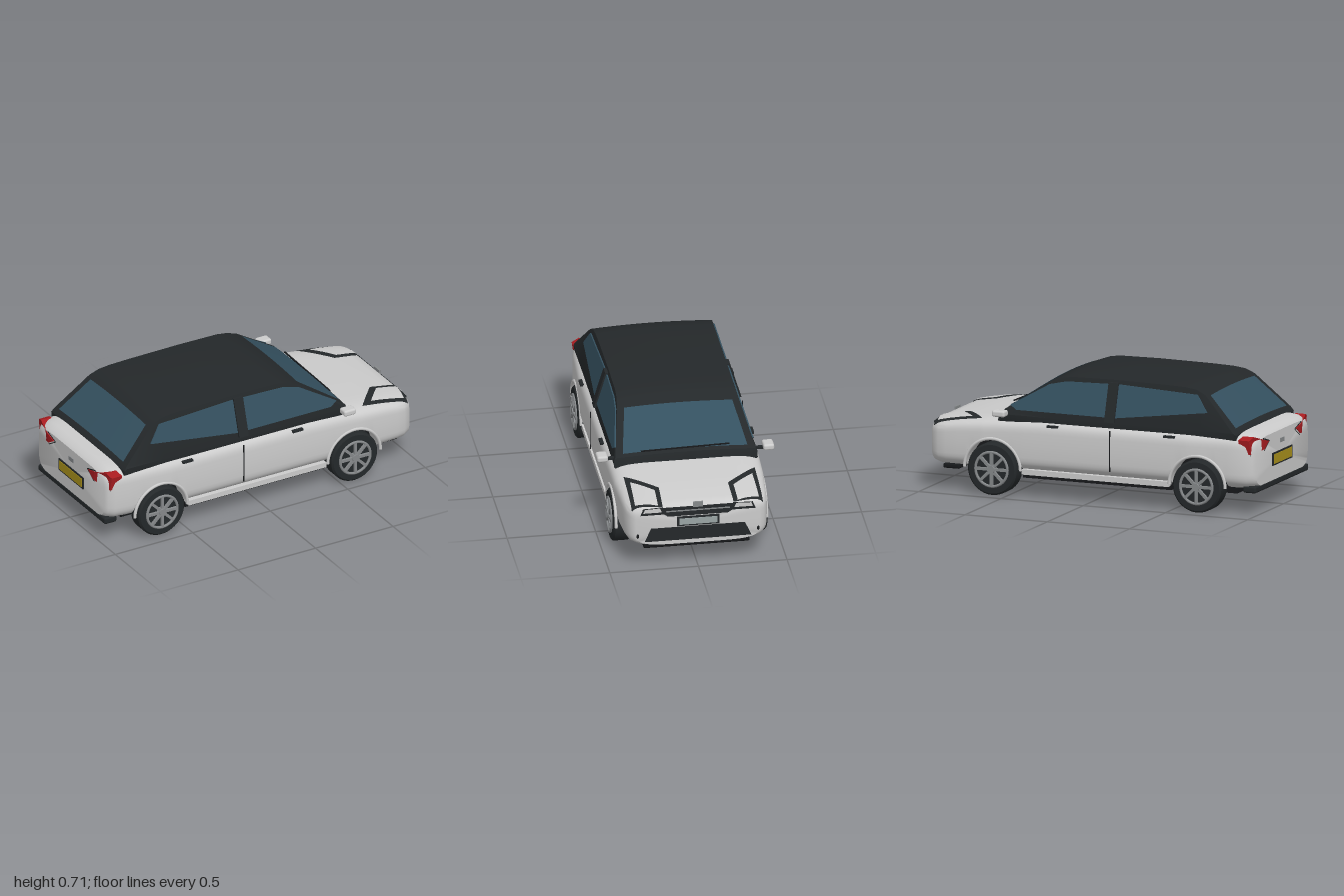
import * as THREE from 'three';
import { toCreasedNormals } from 'three/addons/utils/BufferGeometryUtils.js';
import { RoundedBoxGeometry } from 'three/addons/geometries/RoundedBoxGeometry.js';

const mat = (color, side = THREE.FrontSide) => new THREE.MeshStandardMaterial({ color, side });
const paint = mat(0xcccccc), dark = mat(0x24282a), black = mat(0x17191b), glass = mat(0x34505f, THREE.DoubleSide);
const darkSheet = mat(0x24282a, THREE.DoubleSide), lamp = mat(0xcccccc, THREE.DoubleSide);
const red = mat(0xa81c20), metal = mat(0x85888a), plateGrey = mat(0x9aa5a5), yellow = mat(0xa8901c);

const WHEELS = [-0.66, 0.585], AXLE_Y = 0.15, ARCH = 0.17;

// Linear interpolation in a list of [x, value]
function lerp(list, x) {
  let i = 0;
  while (i < list.length - 2 && x > list[i + 1][0]) i++;
  const [a, b] = [list[i], list[i + 1]];
  return a[1] + (b[1] - a[1]) * THREE.MathUtils.clamp((x - a[0]) / (b[0] - a[0]), 0, 1);
}
const widthAt = [[-0.99, 0.36], [-0.975, 0.38], [-0.94, 0.4], [-0.86, 0.415], [-0.6, 0.43], [0.4, 0.43],
  [0.65, 0.424], [0.88, 0.405], [0.93, 0.395], [0.97, 0.375], [0.985, 0.35]];
const topAt = [[-0.99, 0.425], [-0.975, 0.44], [-0.94, 0.452], [-0.86, 0.46], [0.3, 0.457], [0.56, 0.443],
  [0.8, 0.417], [0.93, 0.396], [0.97, 0.388], [0.985, 0.375]];
const bottomAt = [[-0.99, 0.145], [-0.95, 0.13], [0.94, 0.13], [0.985, 0.145]];
const roofAt = [[-0.885, 0.46], [-0.87, 0.482], [-0.675, 0.665], [-0.62, 0.69], [-0.55, 0.699], [-0.42, 0.703],
  [-0.1, 0.706], [0.14, 0.702], [0.2, 0.692], [0.27, 0.667], [0.545, 0.487], [0.56, 0.44]];
const cabinSide = y => y < 0.46 ? 0.405 : 0.405 - 0.3 * (y - 0.46);

// Skin over closed rings of [y, z], one ring per x, capped at both ends
function loft(xs, ring, crease) {
  const pos = [], idx = [], rings = xs.map(ring), n = rings[0].length;
  rings.forEach((r, i) => r.forEach(([y, z]) => pos.push(xs[i], y, z)));
  for (let i = 0; i < xs.length - 1; i++) for (let j = 0; j < n; j++) {
    const a = i * n + j, b = i * n + (j + 1) % n;
    idx.push(a, a + n, b, b, a + n, b + n);
  }
  for (const i of [0, xs.length - 1]) {
    const c = pos.length / 3, mid = rings[i].reduce((s, p) => s + p[0] / n, 0);
    pos.push(xs[i], mid, 0);
    for (let j = 0; j < n; j++) {
      const a = i * n + j, b = i * n + (j + 1) % n;
      i ? idx.push(c, b, a) : idx.push(c, a, b);
    }
  }
  const g = new THREE.BufferGeometry();
  g.setAttribute('position', new THREE.Float32BufferAttribute(pos, 3));
  g.setIndex(idx);
  return toCreasedNormals(g, crease);
}

// Body section: rounded box whose lower edge is raised over the wheels
function bodyRing(x) {
  const w = lerp(widthAt, x), t = lerp(topAt, x), b = lerp(bottomAt, x), yc = (t + b) / 2, h = (t - b) / 2;
  let floor = -1;
  for (const cx of WHEELS) {
    const d = ARCH * ARCH - (x - cx) ** 2;
    if (d > -1e-9) floor = AXLE_Y + Math.sqrt(Math.max(d, 0));
  }
  return Array.from({ length: 64 }, (_, i) => {
    const a = i / 64 * Math.PI * 2, c = Math.cos(a), s = Math.sin(a), p = s > 0 ? 2 / 6 : 2 / 5;
    return [Math.max(yc + h * Math.sign(s) * Math.abs(s) ** p, floor), w * Math.sign(c) * Math.abs(c) ** p];
  });
}
function bodyTop(x, z) {
  const w = lerp(widthAt, x), t = lerp(topAt, x), b = lerp(bottomAt, x);
  return (t + b) / 2 + (t - b) / 2 * Math.max(0, 1 - Math.abs(z / w) ** 6) ** (1 / 6);
}
const roofTop = (x, z) => { const h = lerp(roofAt, x); return h - 0.012 * (z / cabinSide(h)) ** 2; };

// Cabin section: leaning sides and a slightly crowned roof
function cabinRing(x) {
  const h = lerp(roofAt, x), e = cabinSide(h), ring = [[0.42, 0.4], [Math.min(0.46, h - 0.013), 0.405]];
  for (let i = 0; i <= 12; i++) {
    const z = e * (1 - i / 6);
    ring.push([roofTop(x, z), z]);
  }
  return [...ring, [ring[1][0], -0.405], [0.42, -0.4]];
}

// Thin sheet over four [x, z] corners, resting on a height function
function patch([a, b, c, d], height, lift, n = 12) {
  const g = new THREE.PlaneGeometry(1, 1, n, n), p = g.attributes.position;
  for (let i = 0; i < p.count; i++) {
    const u = p.getX(i) + 0.5, v = p.getY(i) + 0.5;
    const at = k => (a[k] * (1 - u) + b[k] * u) * (1 - v) + (d[k] * (1 - u) + c[k] * u) * v;
    p.setXYZ(i, at(0), height(at(0), at(1)) + lift, at(1));
  }
  g.computeVertexNormals();
  return g;
}

// Extruded outline whose points are placed by a rule (u, v, depth) -> [x, y, z]
function panel(points, depth, rule) {
  const shape = new THREE.Shape(points.map(p => new THREE.Vector2(...p)));
  const g = new THREE.ExtrudeGeometry(shape, { depth, bevelEnabled: false }), p = g.attributes.position;
  for (let i = 0; i < p.count; i++) p.setXYZ(i, ...rule(p.getX(i), p.getY(i), p.getZ(i)));
  g.computeVertexNormals();
  return g;
}
const onSide = (u, v, d) => [u, v, cabinSide(v) + d - 0.004];
const onFront = (u, v, d) => [0.975 + d, v, -u];
const onTail = (u, v, d) => [-0.93 - d + Math.max(0, u - 0.3) * 0.3, v, u];

function makeWheel() {
  const wheel = new THREE.Group();
  const part = (name, g, m, z = 0) => {
    const o = new THREE.Mesh(g, m);
    o.name = name; o.position.z = z; wheel.add(o);
    return o;
  };
  const profile = [[0.09, -0.05], [0.138, -0.05], [0.148, -0.04], [0.148, 0.04], [0.138, 0.05], [0.1, 0.05], [0.095, 0.03], [0, 0.03]];
  const tyre = new THREE.LatheGeometry(profile.map(p => new THREE.Vector2(...p)), 40).rotateX(Math.PI / 2);
  part('tyre', toCreasedNormals(tyre, 0.6), darkSheet);
  part('rimRing', new THREE.TorusGeometry(0.097, 0.008, 8, 40), metal, 0.052);
  part('hub', new THREE.CylinderGeometry(0.022, 0.026, 0.03, 20).rotateX(Math.PI / 2), metal, 0.05);
  for (let i = 0; i < 8; i++) {
    const spoke = new THREE.BoxGeometry(0.016, 0.085, 0.014).translate(0, 0.055, 0).rotateZ(i * Math.PI / 4);
    part('spoke', spoke, metal, 0.052);
  }
  return wheel;
}

export function createModel() {
  const car = new THREE.Group();
  car.name = 'car';
  const add = (name, g, m, x = 0, y = 0, z = 0) => {
    const o = new THREE.Mesh(g, m);
    o.name = name; o.position.set(x, y, z); car.add(o);
    return o;
  };
  const pair = (name, g, m, x = 0, y = 0, z = 0) => {
    add(name, g, m, x, y, z);
    add(name, g, m, x, y, -z).scale.z = -1;
  };
  const box = (x, y, z) => new THREE.BoxGeometry(x, y, z);

  // Body shell with wheel openings
  const xs = [...widthAt, ...topAt].map(p => p[0]);
  for (const cx of WHEELS) {
    xs.push(cx - ARCH - 0.002, cx + ARCH + 0.002);
    for (let i = 0; i <= 20; i++) xs.push(cx + ARCH * Math.cos(i / 20 * Math.PI));
  }
  add('body', loft([...new Set(xs)].sort((a, b) => a - b), bodyRing, 0.7), paint);

  // Underside and wheel wells
  add('floor', box(1.6, 0.035, 0.6), black, -0.05, 0.118);
  add('floorMiddle', box(0.9, 0.03, 0.78), black, -0.0375, 0.122);
  for (const cx of WHEELS) add('wheelWell', box(0.345, 0.2, 0.63), black, cx, 0.225);
  pair('sill', box(0.89, 0.03, 0.05), paint, -0.0375, 0.145, 0.398);
  add('frontLip', new RoundedBoxGeometry(0.1, 0.028, 0.6, 2, 0.01), black, 0.89, 0.117);
  add('rearLowerTrim', new RoundedBoxGeometry(0.08, 0.04, 0.74, 2, 0.012), dark, -0.952, 0.142);

  // Cabin and its glass
  add('cabin', loft(roofAt.map(p => p[0]), cabinRing, 0.5), dark);
  add('windscreen', patch([[0.285, 0.305], [0.53, 0.352], [0.53, -0.352], [0.285, -0.305]], roofTop, 0.005), glass);
  add('rearWindow', patch([[-0.865, 0.355], [-0.69, 0.305], [-0.69, -0.305], [-0.865, -0.355]], roofTop, 0.005), glass);
  pair('rearSideWindow', panel([[-0.7, 0.56], [-0.15, 0.49], [-0.15, 0.672], [-0.63, 0.652]], 0.008, onSide), glass);
  pair('frontSideWindow', panel([[-0.09, 0.49], [0.45, 0.49], [0.49, 0.515], [0.27, 0.642], [0.17, 0.664], [-0.09, 0.67]], 0.008, onSide), glass);
  pair('doorPillar', panel([[-0.15, 0.465], [-0.09, 0.465], [-0.09, 0.68], [-0.15, 0.68]], 0.018, onSide), dark);
  const wiper = add('wiper', box(0.008, 0.006, 0.5), black, 0.53, 0.505, 0);
  wiper.rotation.x = 0.02;

  // Doors and mirrors
  pair('doorGap', box(0.006, 0.23, 0.006), black, -0.13, 0.305, 0.4285);
  for (const x of [-0.49, 0.22]) pair('doorHandle', box(0.065, 0.012, 0.02), dark, x, 0.416, 0.424);
  pair('mirror', new RoundedBoxGeometry(0.078, 0.036, 0.062, 3, 0.012), paint, 0.52, 0.478, 0.469);
  pair('mirrorArm', box(0.02, 0.014, 0.06), dark, 0.52, 0.466, 0.415);

  // Headlights: dark surround with a pale lens above it
  pair('headlightSurround', patch([[0.67, 0.37], [0.965, 0.37], [0.983, 0.2], [0.82, 0.195]], bodyTop, 0.004), darkSheet);
  pair('headlightLens', patch([[0.74, 0.345], [0.95, 0.35], [0.978, 0.225], [0.845, 0.222]], bodyTop, 0.008), lamp);
  pair('headlightFrontSurround', panel([[0.17, 0.335], [0.325, 0.335], [0.31, 0.372], [0.2, 0.378]], 0.013, onFront), dark);
  pair('headlightFrontLens', panel([[0.205, 0.35], [0.31, 0.35], [0.3, 0.372], [0.215, 0.375]], 0.015, onFront), lamp);

  // Nose details
  add('grille', panel([[-0.17, 0.32], [0.17, 0.32], [0.205, 0.345], [0.205, 0.375], [-0.205, 0.375], [-0.205, 0.345]], 0.014, onFront), dark);
  add('grilleBar', box(0.01, 0.008, 0.36), metal, 0.985, 0.352);
  add('noseBlock', box(0.012, 0.03, 0.056), metal, 0.984, 0.384);
  add('lowerIntake', panel([[-0.3, 0.17], [0.3, 0.17], [0.265, 0.25], [-0.265, 0.25]], 0.014, onFront), dark);
  add('frontPlateFrame', box(0.02, 0.056, 0.24), dark, 0.984, 0.286);
  add('frontPlate', box(0.02, 0.038, 0.214), plateGrey, 0.987, 0.286);
  pair('bumperSlit', new THREE.SphereGeometry(1, 12, 8).scale(0.025, 0.025, 0.012), black, 0.965, 0.207, 0.34);

  // Tail details
  pair('tailLight', panel([[0.19, 0.392], [0.25, 0.355], [0.39, 0.345], [0.402, 0.425], [0.36, 0.442], [0.26, 0.41]], 0.066, onTail), red);
  pair('tailLightTrim', panel([[0.17, 0.392], [0.245, 0.345], [0.385, 0.335], [0.385, 0.36], [0.26, 0.42]], 0.062, onTail), dark);
  add('rearPlateFrame', box(0.016, 0.072, 0.27), dark, -0.988, 0.275);
  add('rearPlate', box(0.016, 0.054, 0.245), yellow, -0.991, 0.275);
  add('tailBlock', box(0.012, 0.024, 0.05), metal, -0.989, 0.365);

  // Wheels and arch lips
  for (const cx of WHEELS) {
    pair('archLip', new THREE.TorusGeometry(ARCH, 0.009, 8, 40, Math.PI), paint, cx, AXLE_Y, 0.425);
    for (const s of [1, -1]) {
      const wheel = makeWheel();
      wheel.name = 'wheel';
      wheel.position.set(cx, 0.148, 0.385 * s);
      if (s < 0) wheel.rotation.y = Math.PI;
      car.add(wheel);
    }
  }
  return car;
}
